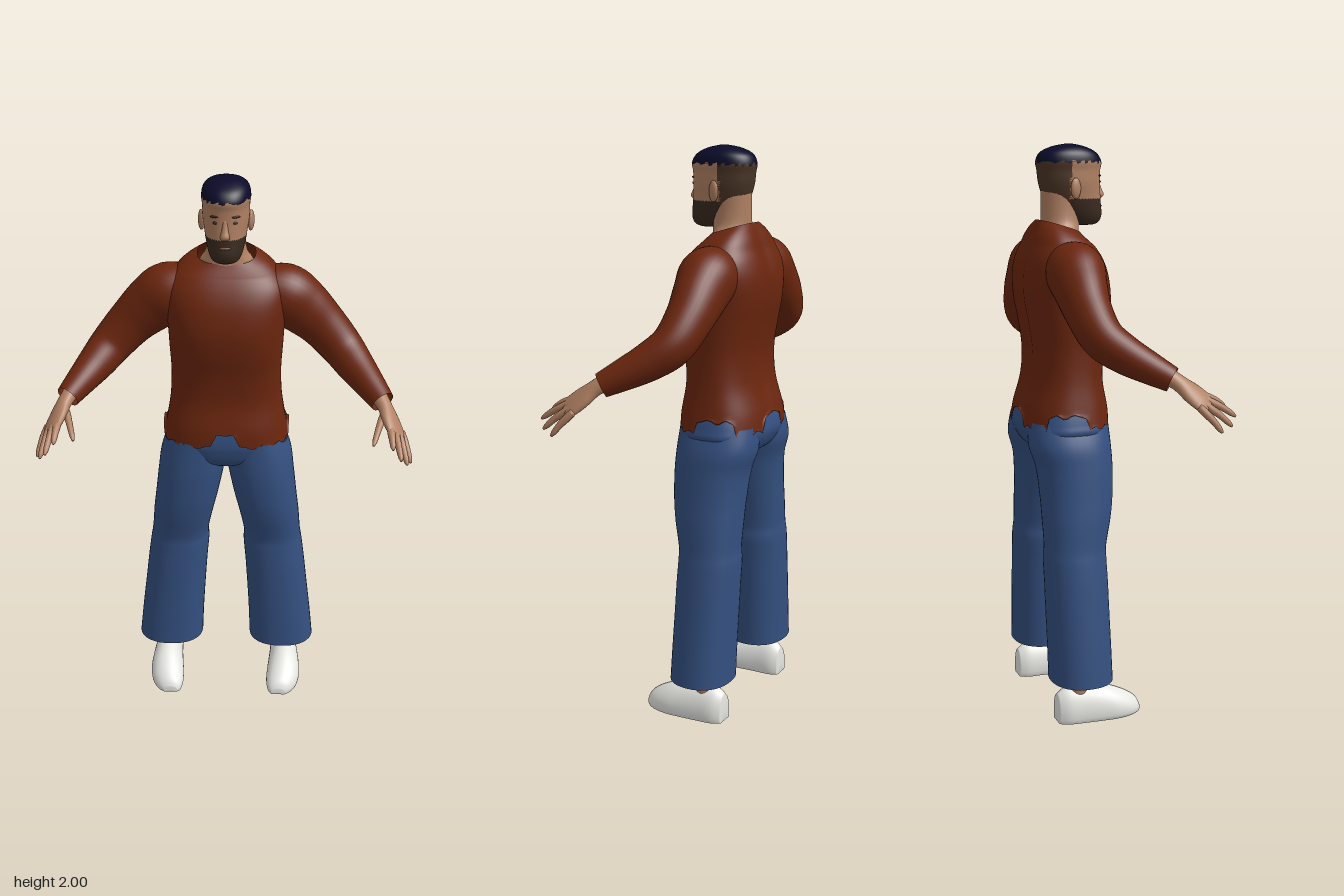
import * as THREE from 'three';

const V = (x, y, z) => new THREE.Vector3(x, y, z);
const X = V(1, 0, 0), Y = V(0, 1, 0), Z = V(0, 0, 1);

const paint = (name, color, side = THREE.FrontSide) => {
  const m = new THREE.MeshStandardMaterial({ color, side });
  m.name = name;
  return m;
};

// Catmull-Rom blend of rows of numbers, t from 0 to 1
function blend(rows, t) {
  const f = t * (rows.length - 1), i = Math.min(Math.floor(f), rows.length - 2), k = f - i;
  const at = (n) => rows[Math.max(0, Math.min(rows.length - 1, n))];
  const [a, b, c, d] = [at(i - 1), at(i), at(i + 1), at(i + 2)];
  return b.map((_, n) => b[n] + 0.5 * k * (c[n] - a[n] +
    k * (2 * a[n] - 5 * b[n] + 4 * c[n] - d[n] + k * (3 * (b[n] - c[n]) + d[n] - a[n]))));
}

// Skin over rounded cross-sections. Each row is [x, y, z, half width, half depth].
// 'axis' fixes the direction of the sections; otherwise they follow the path.
function loft(rows, { n = 24, steps = 24, power = 2, side = X, axis, caps = true, warp, pick }) {
  const pos = [], parts = [], put = (p) => pos.push(p.x, p.y, p.z);
  const centre = (t) => V(...blend(rows, Math.min(1, Math.max(0, t))).slice(0, 3));
  const bend = (c) => Math.sign(c) * Math.abs(c) ** (2 / power);
  for (let i = 0; i <= steps; i++) {
    const t = i / steps, r = blend(rows, t);
    const dir = axis || centre(t + 0.01).sub(centre(t - 0.01)).normalize();
    const u = side.clone().addScaledVector(dir, -side.dot(dir)).normalize();
    const v = dir.clone().cross(u);
    for (let j = 0; j < n; j++) {
      const a = (j / n) * Math.PI * 2;
      const p = V(r[0], r[1], r[2]).addScaledVector(u, bend(Math.cos(a)) * r[3])
        .addScaledVector(v, bend(Math.sin(a)) * r[4]);
      if (warp) warp(p, a, t);
      put(p);
    }
  }
  const vert = (i) => V(pos[3 * i], pos[3 * i + 1], pos[3 * i + 2]);
  const tri = (a, b, c) => {
    const k = pick ? pick(vert(a).add(vert(b)).add(vert(c)).divideScalar(3)) : 0;
    (parts[k] ||= []).push(a, b, c);
  };
  for (let i = 0; i < steps; i++) for (let j = 0; j < n; j++) {
    const a = i * n + j, b = i * n + (j + 1) % n;
    tri(a, b, b + n);
    tri(a, b + n, a + n);
  }
  if (caps) for (const i of [0, steps]) {
    const mid = V(0, 0, 0);
    for (let j = 0; j < n; j++) mid.add(vert(i * n + j));
    put(mid.divideScalar(n));
    const m = pos.length / 3 - 1;
    for (let j = 0; j < n; j++) {
      const a = i * n + j, b = i * n + (j + 1) % n;
      i ? tri(a, b, m) : tri(b, a, m);
    }
  }
  const g = new THREE.BufferGeometry();
  g.setAttribute('position', new THREE.Float32BufferAttribute(pos, 3));
  g.setIndex(parts.flat());
  let start = 0;
  if (pick) parts.forEach((p, k) => { g.addGroup(start, p.length, k); start += p.length; });
  g.computeVertexNormals();
  return g;
}

// [y, half width, front z, back z] to a loft row
const body = ([y, w, f, b]) => [0, y, (f + b) / 2, w, (f - b) / 2];

export function createModel() {
  const model = new THREE.Group();
  const skin = paint('skin', 0xb08062), shirtRed = paint('rust shirt', 0x6b260e, THREE.DoubleSide);
  const denim = paint('blue denim', 0x345080, THREE.DoubleSide), white = paint('shoe white', 0xe6e6e2);
  const hair = paint('dark hair', 0x0b0b2a), beard = paint('beard brown', 0x392a1f);
  const fade = paint('short side hair', 0x4a3526), lip = paint('lip', 0x80503e);
  const add = (name, geo, mat, parent = model) => {
    const m = new THREE.Mesh(geo, mat);
    m.name = name;
    parent.add(m);
    return m;
  };
  const blob = (name, mat, p, s) => {
    const m = add(name, new THREE.SphereGeometry(1, 16, 10), mat);
    m.position.set(...p);
    m.scale.set(...s);
    return m;
  };

  // Shirt, with a ragged hem, a lowered neckline and a spine groove
  const hem = (p, a) => {
    const x = Math.abs(p.x), jag = 0.007 * Math.sin(a * 17);
    if (p.z > -0.09) return (x < 0.04 ? 1.1 : 1.045) + jag;
    if (p.z > -0.225) return 1.09 + jag;
    return (x < 0.06 ? 1.09 : 1.04) + jag;
  };
  add('shirt', loft([
    [1.03, 0.228, 0.033, -0.278], [1.1, 0.216, 0.031, -0.268], [1.2, 0.2, 0.014, -0.24],
    [1.3, 0.195, 0.02, -0.235], [1.4, 0.2, 0.04, -0.25], [1.48, 0.205, 0.047, -0.265],
    [1.56, 0.215, 0.034, -0.266], [1.62, 0.21, 0.01, -0.252], [1.67, 0.175, -0.022, -0.23],
    [1.7, 0.14, -0.042, -0.21], [1.722, 0.1, -0.055, -0.192]].map(body), {
    n: 80, steps: 60, power: 2.5, axis: Y, caps: false,
    warp: (p, a, t) => {
      if (p.z < -0.15) p.z += 0.014 * Math.exp(-((p.x / 0.035) ** 2)) * Math.sin(Math.PI * t);
      if (p.y < 1.13) p.y = Math.max(p.y, hem(p, a));
      if (p.y > 1.66) p.y += (p.y - 1.66) * (-0.12 - p.z) * 5;
    } }), shirtRed);

  // Neck
  add('neck', loft([[1.64, 0.1, -0.04, -0.19], [1.7, 0.093, -0.052, -0.183], [1.735, 0.072, -0.048, -0.18],
    [1.78, 0.065, -0.045, -0.18], [1.85, 0.064, -0.045, -0.18]].map(body), { axis: Y }), skin);

  // Head, coloured by region: face, beard, shaved sides, hair
  const region = (p) => {
    if (p.y > 1.938 + 0.005 * Math.sin(p.x * 150 + p.z * 190)) return 3;
    if (p.z < -0.1 && p.y > 1.8 - (p.z + 0.1) * 0.5) return 2;
    return p.y < 1.815 && p.z > -0.1 ? 1 : 0;
  };
  add('head', loft([[1.725, 0.024, 0.005, -0.05], [1.735, 0.045, 0.026, -0.08], [1.76, 0.058, 0.036, -0.11],
    [1.8, 0.068, 0.033, -0.15], [1.83, 0.073, 0.031, -0.175], [1.87, 0.079, 0.029, -0.188],
    [1.91, 0.08, 0.03, -0.193], [1.94, 0.083, 0.034, -0.197], [1.97, 0.075, 0.015, -0.182],
    [1.99, 0.05, -0.025, -0.14], [2.0, 0.01, -0.07, -0.09]].map(body),
  { n: 56, steps: 70, power: 2.2, axis: Y, pick: region }), [skin, beard, fade, hair]);

  // Face details
  add('nose', loft([[0, 1.815, 0.029, 0.012, 0.007], [0, 1.827, 0.034, 0.016, 0.014],
    [0, 1.85, 0.029, 0.011, 0.01], [0, 1.885, 0.022, 0.007, 0.006]], { axis: Y, n: 16, steps: 12 }), skin);
  blob('lips', lip, [0, 1.789, 0.033], [0.02, 0.005, 0.005]);

  // Hips
  add('jeans hips', loft([[0.94, 0.1, -0.03, -0.2], [0.97, 0.17, 0.008, -0.245], [1.02, 0.222, 0.024, -0.272],
    [1.06, 0.219, 0.026, -0.27], [1.12, 0.202, 0.018, -0.25]].map(body),
  { n: 48, power: 2.5, axis: Y }), denim);

  for (const s of [1, -1]) {
    const limb = new THREE.Group(), w = s > 0 ? 'left' : 'right';
    limb.name = `${w}Limbs`;
    model.add(limb);
    const flip = (rows) => rows.map(([x, ...rest]) => [x * s, ...rest]);

    // Trouser leg: [y, inner x, outer x, front z, back z], open at the bottom
    add(`${w} trouser leg`, loft([
      [0.15, 0.093, 0.34, -0.012, -0.232], [0.27, 0.088, 0.327, -0.014, -0.233],
      [0.4, 0.08, 0.311, -0.016, -0.235], [0.5, 0.073, 0.299, -0.017, -0.236],
      [0.58, 0.066, 0.288, -0.019, -0.237], [0.63, 0.067, 0.28, -0.018, -0.233],
      [0.72, 0.049, 0.272, 0.003, -0.235], [0.8, 0.03, 0.262, 0.016, -0.237],
      [0.9, 0.009, 0.25, 0.022, -0.246], [0.98, -0.004, 0.238, 0.02, -0.268],
      [1.06, 0, 0.208, 0.016, -0.262]]
      .map(([y, i, o, f, b]) => [s * (i + o) / 2, y, (f + b) / 2, (o - i) / 2, (f - b) / 2]),
    { n: 40, steps: 50, power: 2.25, axis: Y, caps: false }), denim, limb);

    // Ankle and shoe
    const ankle = add(`${w} ankle`, new THREE.CylinderGeometry(0.045, 0.033, 0.22, 20), skin, limb);
    ankle.position.set(0.232 * s, 0.2, -0.135);
    const sole = [[0.226, -0.214, 0.034, 0.1], [0.228, -0.18, 0.05, 0.122], [0.23, -0.12, 0.055, 0.126],
      [0.23, -0.05, 0.061, 0.117], [0.228, 0, 0.064, 0.1], [0.222, 0.05, 0.059, 0.074],
      [0.214, 0.085, 0.044, 0.048], [0.21, 0.1, 0.026, 0.025]];
    add(`${w} shoe`, loft(sole.map(([x, z, r, h]) => [x * s, 0.28 * h, z, r, 0.72 * h]),
      { n: 32, steps: 32, axis: Z, warp: (p) => { p.y = Math.max(0, p.y); } }), white, limb);

    // Sleeve
    add(`${w} sleeve`, loft(flip([
      [0.13, 1.6, -0.125, 0.085, 0.08], [0.2, 1.575, -0.13, 0.1, 0.105], [0.265, 1.525, -0.135, 0.088, 0.1],
      [0.335, 1.46, -0.135, 0.077, 0.085], [0.405, 1.385, -0.115, 0.07, 0.075],
      [0.455, 1.335, -0.06, 0.062, 0.066], [0.505, 1.292, 0.01, 0.052, 0.053],
      [0.545, 1.258, 0.07, 0.041, 0.042]]), { n: 32, steps: 40, side: Z, caps: false }), shirtRed, limb);

    // Hand: palm, four fingers and a thumb
    const across = V(0.045 * s, -0.035, -0.035);
    add(`${w} palm`, loft(flip([[0.53, 1.275, 0.05, 0.03, 0.028], [0.553, 1.247, 0.09, 0.03, 0.024],
      [0.57, 1.217, 0.125, 0.042, 0.022], [0.588, 1.187, 0.16, 0.045, 0.017], [0.597, 1.172, 0.178, 0.036, 0.01]]),
    { side: across }), skin, limb);
    const fingers = [
      ['index finger', [0.568, 1.202, 0.175], [0.574, 1.163, 0.245]],
      ['middle finger', [0.584, 1.19, 0.175], [0.601, 1.135, 0.27]],
      ['ring finger', [0.6, 1.176, 0.165], [0.624, 1.108, 0.247]],
      ['little finger', [0.614, 1.163, 0.147], [0.64, 1.093, 0.205]],
      ['thumb', [0.545, 1.225, 0.115], [0.508, 1.17, 0.23]]];
    for (const [name, a, b] of fingers) {
      const on = (k, r, lift = 0) => [...a.map((c, n) => c + (b[n] - c) * k + (n === 1 ? lift : 0)), r, r];
      add(`${w} ${name}`, loft(flip([on(-0.2, 0.012), on(0.2, 0.013, 0.003), on(0.55, 0.011, 0.005),
        on(0.85, 0.009, 0.002), on(1, 0.004)]), { n: 12, steps: 12, side: across }), skin, limb);
    }

    // Ear, eye and brow
    blob(`${w} ear`, skin, [0.083 * s, 1.85, -0.085], [0.011, 0.036, 0.02]).rotation.y = -0.3 * s;
    blob(`${w} eye`, beard, [0.03 * s, 1.872, 0.02], [0.011, 0.005, 0.005]);
    blob(`${w} brow`, beard, [0.033 * s, 1.892, 0.019], [0.018, 0.004, 0.006]).rotation.y = 0.25 * s;
  }
  return model;
}
